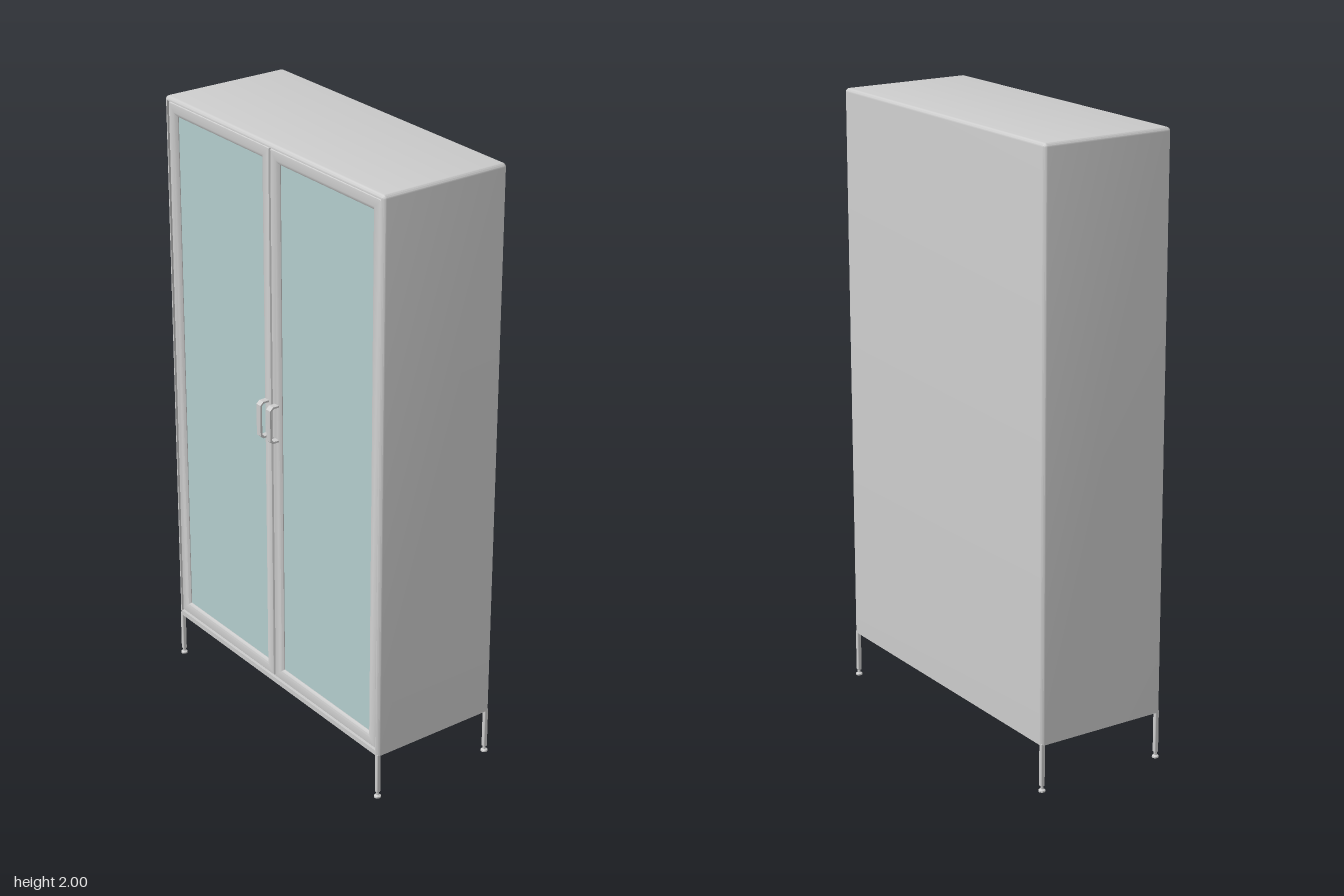
import * as THREE from 'three';
import { toCreasedNormals } from 'three/addons/utils/BufferGeometryUtils.js';
import { RoundedBoxGeometry } from 'three/addons/geometries/RoundedBoxGeometry.js';

const grey = new THREE.MeshStandardMaterial({ color: 0xcccccc });
const tinted = new THREE.MeshStandardMaterial({ color: 0xb3cccc });

function add(parent, name, geometry, x = 0, y = 0, z = 0, material = grey) {
  const mesh = new THREE.Mesh(geometry, material);
  mesh.name = name;
  mesh.position.set(x, y, z);
  parent.add(mesh);
  return mesh;
}

// Counter-clockwise rectangle with rounded top corners, at depth z
function outline(x0, x1, y0, y1, r, z, seg = 4) {
  const pts = [[x0, y0, z], [x1, y0, z]];
  for (const [cx, start] of [[x1 - r, 0], [x0 + r, Math.PI / 2]]) {
    for (let i = 0; i <= seg; i++) {
      const a = start + (i / seg) * Math.PI / 2;
      pts.push([cx + r * Math.cos(a), y1 - r + r * Math.sin(a), z]);
    }
  }
  return pts;
}

// Skin over successive rings; closed at both ends, or joined last to first
function loft(rings, joined = false) {
  const n = rings[0].length, pos = rings.flat(2), index = [];
  const count = rings.length;
  for (let i = 0; i < (joined ? count : count - 1); i++) {
    for (let j = 0; j < n; j++) {
      const k = (j + 1) % n, m = (i + 1) % count;
      index.push(i * n + j, i * n + k, m * n + j, i * n + k, m * n + k, m * n + j);
    }
  }
  if (!joined) {
    const last = (count - 1) * n;
    for (let j = 1; j < n - 1; j++) {
      index.push(0, j + 1, j, last, last + j, last + j + 1);
    }
  }
  const geometry = new THREE.BufferGeometry();
  geometry.setAttribute('position', new THREE.Float32BufferAttribute(pos, 3));
  geometry.setIndex(index);
  return toCreasedNormals(geometry, 0.6);
}

const W = 0.55, TOP = 2, BASE = 0.155, BACK = -0.24, FRONT = 0.21;

// Hollow shell with softened edges, open at the front
function carcassGeometry() {
  const r = 0.012, steps = 4, rings = [];
  const ring = (d, z, lift = 0) =>
    rings.push(outline(-W + d, W - d, BASE + lift, TOP - d, Math.max(r - d, 0.001), z));
  for (let i = 0; i <= steps; i++) {
    const a = (i / steps) * Math.PI / 2;
    ring(r * (1 - Math.sin(a)), BACK + r * (1 - Math.cos(a)));
  }
  for (let i = 0; i <= steps; i++) {
    const a = (i / steps) * Math.PI / 2;
    ring(r * (1 - Math.cos(a)), FRONT - r * (1 - Math.sin(a)));
  }
  ring(0.013, FRONT, 0.017);
  ring(0.013, BACK + 0.013, 0.017);
  return loft(rings);
}

function createDoor(side) {
  const door = new THREE.Group();
  door.name = side > 0 ? 'leftDoor' : 'rightDoor';
  const x0 = side > 0 ? 0.003 : -0.534, x1 = side > 0 ? 0.534 : -0.003;
  const y0 = 0.176, y1 = 1.983;

  // Moulded frame: [inset from the door edge, depth]
  const profile = [[0, 0.188], [0, 0.203], [0.002, 0.206], [0.005, 0.207],
    [0.028, 0.207], [0.034, 0.205], [0.041, 0.199], [0.041, 0.188]];
  const rings = profile.map(([d, z]) =>
    outline(x0 + d, x1 - d, y0 + d, y1 - d, 0.001, z, 1));
  add(door, 'doorFrame', loft(rings, true));

  add(door, 'doorPanel', new THREE.BoxGeometry(x1 - x0 - 0.08, y1 - y0 - 0.08, 0.005),
    (x0 + x1) / 2, (y0 + y1) / 2, 0.194, tinted);

  // Bent strap handle: profile in depth and height, extruded across
  const strap = new THREE.Shape();
  const path = [[0, 0.062], [0.022, 0.062], [0.033, 0.052], [0.033, -0.052],
    [0.022, -0.062], [0, -0.062], [0, -0.056], [0.02, -0.056],
    [0.027, -0.049], [0.027, 0.049], [0.02, 0.056], [0, 0.056]];
  strap.setFromPoints(path.map(([z, y]) => new THREE.Vector2(-z, y)));
  const bar = new THREE.ExtrudeGeometry(strap, {
    depth: 0.017, bevelEnabled: true, bevelSize: 0.001, bevelThickness: 0.002, bevelSegments: 1,
  });
  bar.translate(0, 0, -0.0085).rotateY(Math.PI / 2);
  add(door, 'handle', bar, side * 0.0255, 1.098, 0.206);
  return door;
}

function createLeg(x, z) {
  const leg = new THREE.Group();
  leg.name = 'leg';
  leg.position.set(x, 0, z);
  add(leg, 'legPost', new RoundedBoxGeometry(0.014, 0.142, 0.014, 2, 0.003), 0, 0.089, 0);
  // Levelling foot with a short stem
  const foot = [[0, 0], [0.011, 0], [0.011, 0.005], [0.005, 0.009], [0.005, 0.02]]
    .map(([r, y]) => new THREE.Vector2(r, y));
  add(leg, 'foot', toCreasedNormals(new THREE.LatheGeometry(foot, 16), 0.6));
  return leg;
}

export function createModel() {
  const cabinet = new THREE.Group();
  cabinet.name = 'cabinet';
  add(cabinet, 'carcass', carcassGeometry());

  // Evenly spaced inner shelves
  for (let i = 1; i <= 4; i++) {
    add(cabinet, 'shelf', new THREE.BoxGeometry(1.074, 0.012, 0.4), 0, 0.172 + i * 0.358, -0.025);
  }

  for (const side of [-1, 1]) {
    cabinet.add(createDoor(side));
    for (const z of [0.202, -0.232]) cabinet.add(createLeg(side * 0.541, z));
  }
  return cabinet;
}
